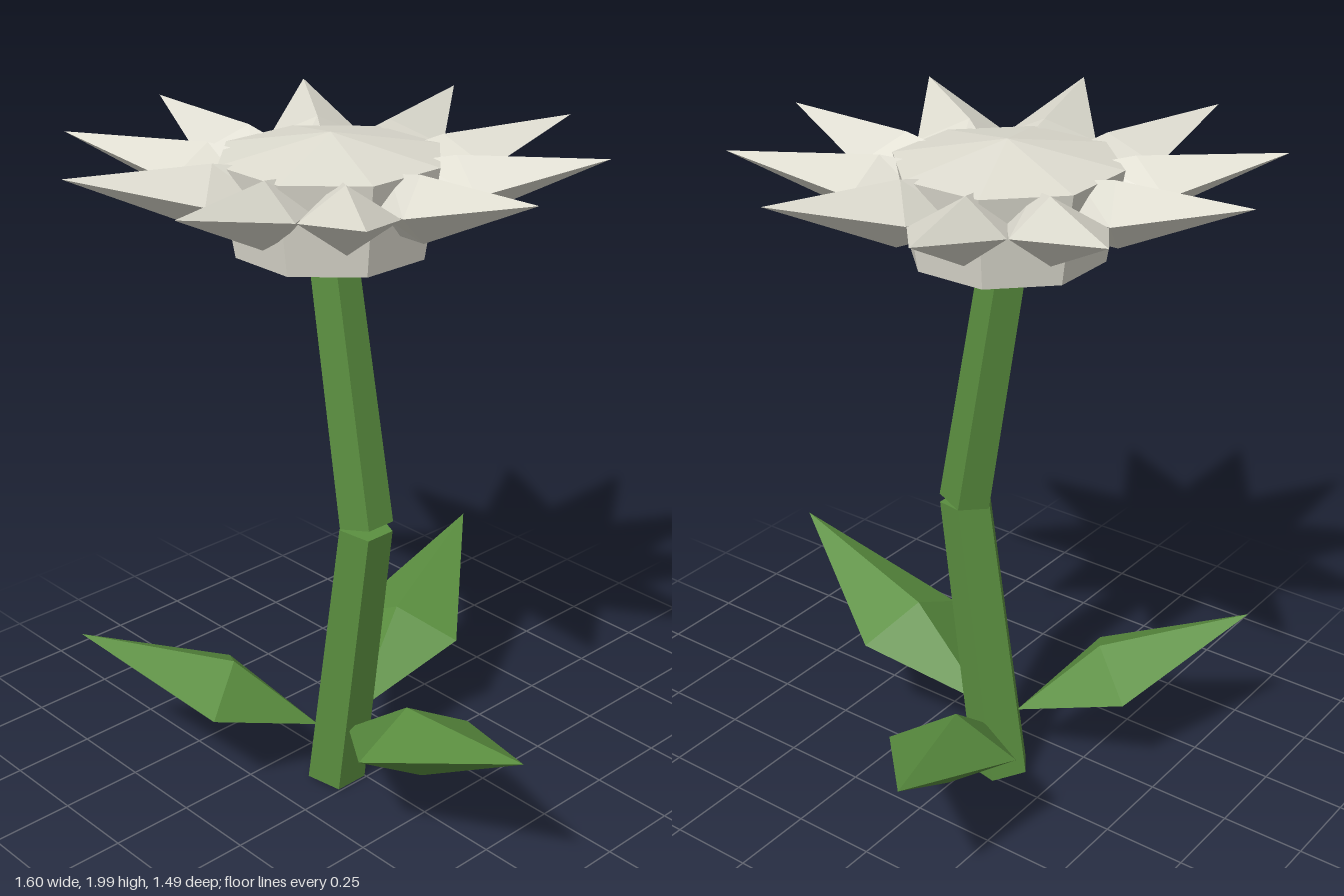
import * as THREE from 'three';

const cream = new THREE.MeshStandardMaterial({ color: 0xdedcd0, flatShading: true });
cream.name = 'cream';
const green = new THREE.MeshStandardMaterial({ color: 0x5b8f40, flatShading: true });
green.name = 'leaf green';

function addMesh(parent, name, geometry, material) {
  const mesh = new THREE.Mesh(geometry, material);
  mesh.name = name;
  parent.add(mesh);
  return mesh;
}

// Faceted blade along +x. Each ring holds a side, top, and bottom point;
// the side point { x, y, z } is mirrored across z.
function bladeGeometry(rings, tip) {
  const loops = rings.map(({ side, top, bottom }) => [
    [side[0], side[1], side[2]], [top[0], top[1], 0],
    [side[0], side[1], -side[2]], [bottom[0], bottom[1], 0],
  ]);
  const out = [];
  const tri = (a, b, c) => out.push(...a, ...b, ...c);
  const last = loops[loops.length - 1];
  for (let i = 0; i < 4; i++) {
    const j = (i + 1) % 4;
    for (let k = 0; k + 1 < loops.length; k++) {
      const a = loops[k], b = loops[k + 1];
      tri(a[j], a[i], b[i]);
      tri(a[j], b[i], b[j]);
    }
    tri(last[j], last[i], tip);
  }
  const geometry = new THREE.BufferGeometry();
  geometry.setAttribute('position', new THREE.Float32BufferAttribute(out, 3));
  geometry.computeVertexNormals();
  return geometry;
}

// Five-sided stem piece between two points
function addStem(parent, name, from, to, rFrom, rTo) {
  const a = new THREE.Vector3(...from), b = new THREE.Vector3(...to);
  const length = a.distanceTo(b);
  const geometry = new THREE.CylinderGeometry(rTo, rFrom, length, 5, 1, false, -Math.PI / 2);
  const stem = addMesh(parent, name, geometry, green);
  stem.position.copy(a).add(b).multiplyScalar(0.5);
  stem.rotation.z = -Math.atan2(b.x - a.x, b.y - a.y);
}

// Leaf: pointed at both ends, widest a little before the middle
function addLeaf(parent, name, base, tip) {
  const d = new THREE.Vector3(...tip).sub(new THREE.Vector3(...base));
  const length = d.length(), mid = length * 0.41;
  const geometry = bladeGeometry([
    { side: [0, 0, 0], top: [0, 0], bottom: [0, 0] },
    { side: [mid, 0, 0.187], top: [mid, 0.1], bottom: [mid, -0.1] },
  ], [length, 0, 0]);
  const leaf = addMesh(parent, name, geometry, green);
  leaf.position.set(...base);
  leaf.rotation.order = 'YZX';
  leaf.rotation.y = Math.atan2(-d.z, d.x);
  leaf.rotation.z = Math.asin(d.y / length);
}

export function createModel() {
  const model = new THREE.Group();
  model.name = 'flower';

  // Bent stem
  addStem(model, 'lowerStem', [-0.079, 0.018, 0.055], [0.052, 0.904, 0.055], 0.09, 0.079);
  addStem(model, 'upperStem', [0.051, 0.913, 0.052], [-0.081, 1.692, 0.052], 0.079, 0.069);

  // Leaves around the foot
  addLeaf(model, 'leftLeaf', [-0.01, 0.208, 0.065], [0.8, 0.545, 0.2]);
  addLeaf(model, 'frontRightLeaf', [-0.095, 0.2, 0.11], [-0.6, 0.49, 0.588]);
  addLeaf(model, 'backLeaf', [-0.06, 0.205, -0.01], [-0.325, 0.525, -0.745]);

  // Flower head
  const head = new THREE.Group();
  head.name = 'flowerHead';
  head.position.set(-0.08, 0, 0.052);
  model.add(head);

  const cup = addMesh(head, 'cup',
    new THREE.CylinderGeometry(0.308, 0.267, 0.25, 8, 1, false, Math.PI / 8), cream);
  cup.position.y = 1.815;
  const centre = addMesh(head, 'flowerCentre',
    new THREE.ConeGeometry(0.308, 0.06, 8, 1, true, Math.PI / 8), cream);
  centre.position.y = 1.97;

  // Ring of ten petals
  const petal = bladeGeometry([
    { side: [0.22, 1.865, 0.075], top: [0.22, 1.935], bottom: [0.22, 1.78] },
    { side: [0.4, 1.885, 0.128], top: [0.33, 1.956], bottom: [0.345, 1.78] },
  ], [0.724, 1.965, 0]);
  for (let i = 0; i < 10; i++) {
    addMesh(head, 'petal' + (i + 1), petal, cream).rotation.y = i * Math.PI / 5;
  }
  return model;
}
